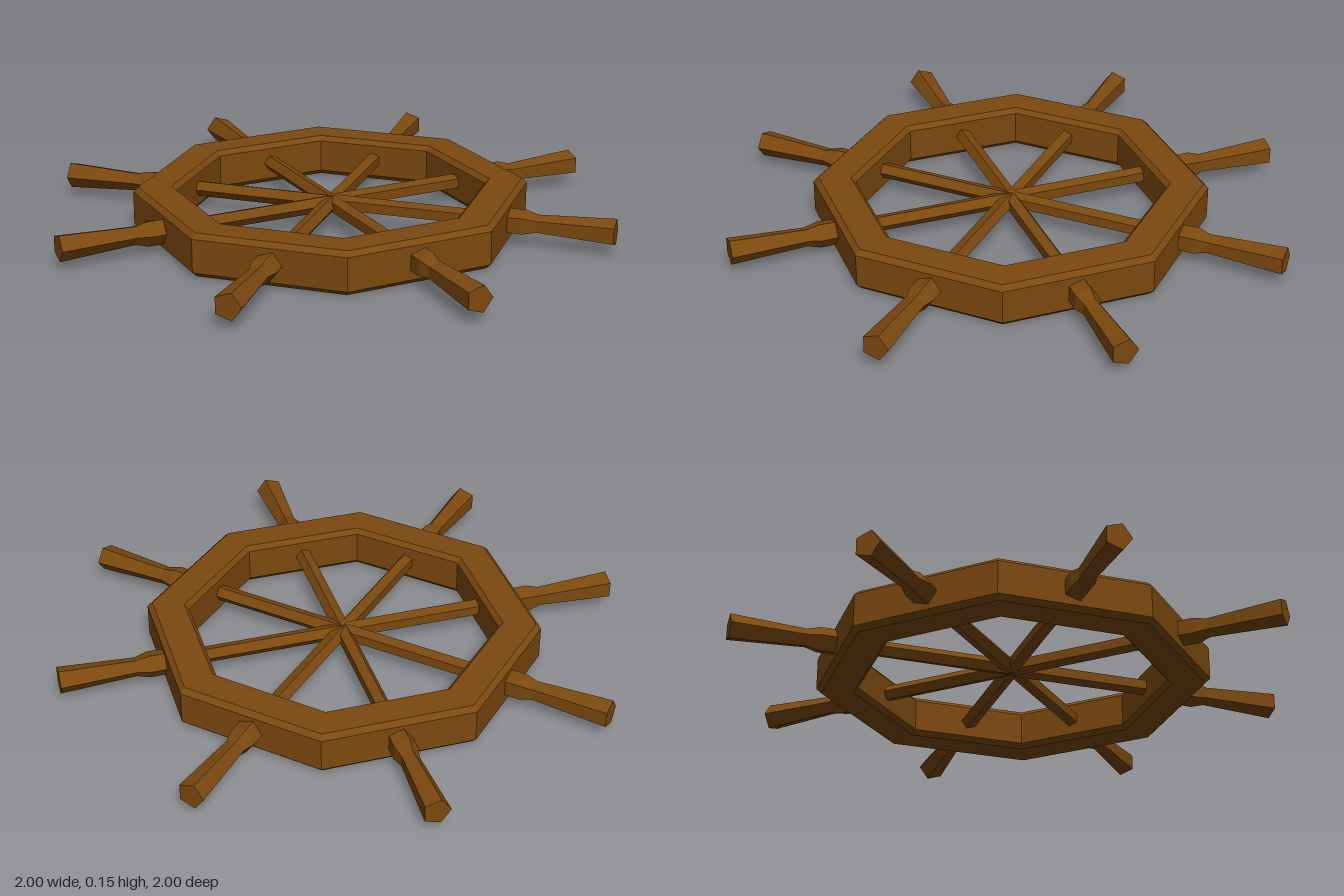
import * as THREE from 'three';

// Turn a (radius, height) profile into a faceted solid
function facetedLathe(profile, sides, start) {
  const points = profile.map(([r, h]) => new THREE.Vector2(r, h));
  const geometry = new THREE.LatheGeometry(points, sides, start).toNonIndexed();
  geometry.computeVertexNormals();
  return geometry;
}

export function createModel() {
  const wood = new THREE.MeshStandardMaterial({ color: 0x7c490f });
  wood.name = 'brown wood';

  const wheel = new THREE.Group();
  wheel.name = 'shipWheel';

  // Octagonal rim with chamfered edges, profile given by distance to the flats
  const toCorner = 1 / Math.cos(Math.PI / 8);
  const rimProfile = [
    [0.515, 0], [0.62, 0], [0.637, 0.017], [0.637, 0.133], [0.62, 0.15],
    [0.515, 0.15], [0.5, 0.133], [0.5, 0.017], [0.515, 0],
  ].map(([r, h]) => [r * toCorner, h]);
  const rim = new THREE.Mesh(facetedLathe(rimProfile, 8, Math.PI / 8), wood);
  rim.name = 'rim';
  wheel.add(rim);

  // Five-sided spoke and grip, laid along +z
  const spokeGeometry = facetedLathe([[0.029, 0], [0.029, 0.58]], 5, Math.PI / 2);
  const handleGeometry = facetedLathe(
    [[0, 0.58], [0.045, 0.6], [0.047, 0.69], [0.034, 0.735], [0.048, 1], [0, 1]], 5, Math.PI / 2);
  spokeGeometry.rotateX(Math.PI / 2);
  handleGeometry.rotateX(Math.PI / 2);

  // Eight arms around the centre
  for (let i = 0; i < 8; i++) {
    const arm = new THREE.Group();
    arm.name = `arm${i + 1}`;
    const spoke = new THREE.Mesh(spokeGeometry, wood);
    spoke.name = 'spoke';
    const handle = new THREE.Mesh(handleGeometry, wood);
    handle.name = 'handle';
    arm.add(spoke, handle);
    arm.position.y = 0.077;
    arm.rotation.y = (i * Math.PI) / 4;
    wheel.add(arm);
  }
  return wheel;
}
